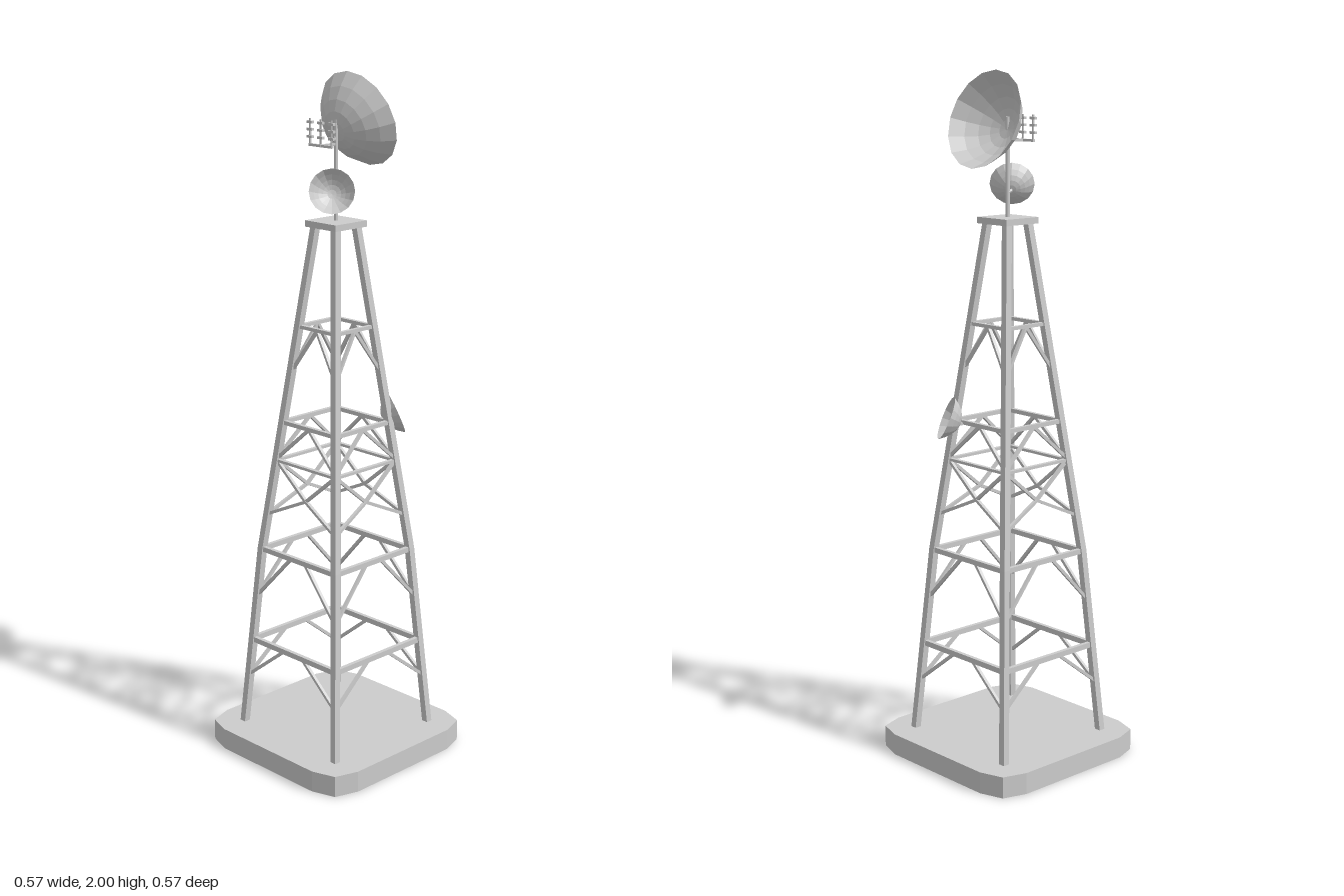
import * as THREE from 'three';

const V = (x, y, z) => new THREE.Vector3(x, y, z);
const UP = V(0, 1, 0);
const metal = new THREE.MeshStandardMaterial({ color: 0xcccccc, flatShading: true });
const sheet = new THREE.MeshStandardMaterial({ color: 0xcccccc, flatShading: true, side: THREE.DoubleSide });

function add(parent, name, geometry, material = metal) {
  const mesh = new THREE.Mesh(geometry, material);
  mesh.name = name;
  parent.add(mesh);
  return mesh;
}

// Square bar between two points, in the parent's own space
function bar(parent, name, a, b, w, h = w) {
  const mesh = add(parent, name, new THREE.BoxGeometry(w, h, a.distanceTo(b)));
  mesh.position.copy(a).add(b).multiplyScalar(0.5);
  mesh.quaternion.setFromRotationMatrix(new THREE.Matrix4().lookAt(b, a, UP));
}

// Round rod between two points
function rod(parent, name, a, b, r) {
  const mesh = add(parent, name, new THREE.CylinderGeometry(r, r, a.distanceTo(b), 8));
  mesh.position.copy(a).add(b).multiplyScalar(0.5);
  mesh.quaternion.setFromUnitVectors(UP, b.clone().sub(a).normalize());
}

// Distance of the leg centre from the tower axis at height y
const KINK = 0.62, TOP = 1.58;
const reach = (y) => y < KINK
  ? 0.195 - 0.042 * (y - 0.06) / (KINK - 0.06)
  : 0.153 - 0.113 * (y - KINK) / (TOP - KINK);

// Open parabolic bowl whose rim is centred at `center` and which faces `axis`
function dish(parent, name, center, axis, radius, depth, mount) {
  const group = new THREE.Group();
  group.name = name;
  const profile = [];
  for (let i = 0; i <= 5; i++) {
    const t = i / 5;
    profile.push(new THREE.Vector2(radius * t, -depth * (1 - Math.pow(t, 2.2))));
  }
  const dir = axis.clone().normalize();
  const bowl = add(group, name + 'Bowl', new THREE.LatheGeometry(profile, 16), sheet);
  bowl.position.copy(center);
  bowl.quaternion.setFromUnitVectors(UP, dir);
  const back = center.clone().addScaledVector(dir, -depth - 0.004);
  rod(group, name + 'Mount', back, mount, 0.005);
  parent.add(group);
}

export function createModel() {
  const model = new THREE.Group();
  model.name = 'radioTower';

  // Base slab with softened corners
  const outline = [];
  for (const [sx, sz, flip] of [[1, 1, 0], [-1, 1, 1], [-1, -1, 0], [1, -1, 1]]) {
    const corner = [[0.283, 0.19], [0.26, 0.26], [0.19, 0.283]];
    if (flip) corner.reverse();
    for (const [x, z] of corner) outline.push(new THREE.Vector2(x * sx, z * sz));
  }
  const slab = new THREE.ExtrudeGeometry(new THREE.Shape(outline), { depth: 0.063, bevelEnabled: false });
  slab.rotateX(-Math.PI / 2);
  add(model, 'baseSlab', slab);

  // Four legs, straight prisms sheared towards the axis with one kink
  for (const sx of [-1, 1]) for (const sz of [-1, 1]) {
    const leg = new THREE.Group();
    leg.name = 'leg';
    for (const [y0, y1] of [[0.06, KINK], [KINK, TOP]]) {
      const g = new THREE.BoxGeometry(0.02, y1 - y0, 0.02);
      g.translate(0, (y0 + y1) / 2, 0);
      const p = g.attributes.position;
      for (let i = 0; i < p.count; i++) {
        const r = reach(p.getY(i));
        p.setX(i, p.getX(i) + sx * r);
        p.setZ(i, p.getZ(i) + sz * r);
      }
      g.computeVertexNormals();
      add(leg, 'legSegment', g);
    }
    model.add(leg);
  }

  // Bracing of one side, repeated around the tower
  for (let k = 0; k < 4; k++) {
    const side = new THREE.Group();
    side.name = 'sideBracing';
    side.rotation.y = k * Math.PI / 2;
    for (const [y, h] of [[0.33, 0.016], [0.617, 0.015], [0.89, 0.008], [1.005, 0.012], [1.288, 0.01]]) {
      const r = reach(y);
      bar(side, 'crossBeam', V(-r, y, r), V(r, y, r), 0.012, h);
    }
    // Diagonals: inner x and height, then height where they meet the leg
    const braces = [
      [0.04, 0.328, 0.215], [0.03, 0.615, 0.47], [0, 0.79, 0.725],
      [0, 0.79, 0.89], [0, 1.003, 0.895], [0, 1.286, 1.155],
    ];
    for (const [x, y, yLeg] of braces) for (const s of [-1, 1]) {
      const r = reach(yLeg), inner = reach(y) - (y === 0.79 ? 0.012 : 0);
      bar(side, 'diagonalBrace', V(s * x, y, inner), V(s * r, yLeg, r), 0.009);
    }
    model.add(side);
  }

  // Top platform and mast
  add(model, 'topPlatform', new THREE.BoxGeometry(0.122, 0.018, 0.122)).position.y = 1.582;
  rod(model, 'mast', V(0, 1.58, 0), V(0, 1.87, 0), 0.006);

  // Dishes
  dish(model, 'mainDish', V(0.092, 1.865, -0.003), V(0.945, 0.325, 0), 0.141, 0.093, V(-0.004, 1.815, 0));
  dish(model, 'upperDish', V(-0.045, 1.68, 0.03), V(-0.665, 0.34, 0.665), 0.064, 0.042, V(0, 1.66, 0));
  dish(model, 'lowerDish', V(0.157, 1.021, 0.089), V(0.76, 0.39, 0.53), 0.065, 0.044, V(0.109, 1.0, 0.105));

  // Small antenna array on a side arm
  const array = new THREE.Group();
  array.name = 'antennaArray';
  bar(array, 'antennaArm', V(0, 1.803, 0), V(-0.062, 1.803, 0), 0.007);
  bar(array, 'antennaCrossbar', V(-0.058, 1.803, -0.046), V(-0.058, 1.803, 0.046), 0.007);
  for (const z of [-0.042, 0, 0.042]) {
    rod(array, 'antennaRod', V(-0.058, 1.8, z), V(-0.058, 1.875, z), 0.003);
    for (const y of [1.825, 1.845, 1.865]) {
      bar(array, 'antennaElement', V(-0.058, y, z - 0.01), V(-0.058, y, z + 0.01), 0.009, 0.007);
    }
  }
  model.add(array);

  return model;
}
